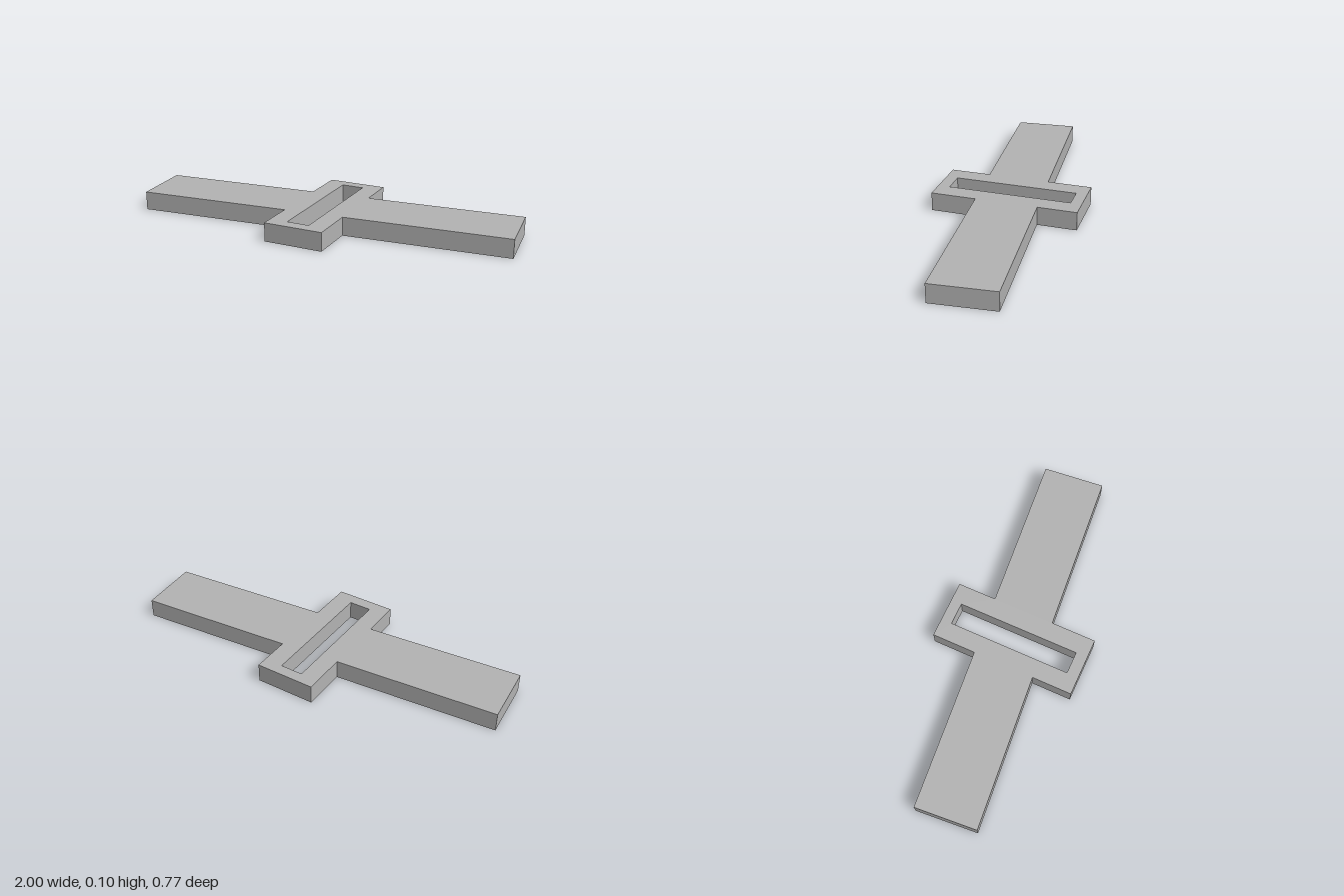
import * as THREE from 'three';

const HEIGHT = 0.098;

// Adds an [x, z] loop to a shape or path; shape y is -z so the extrusion stands upright
function trace(path, points) {
  path.setFromPoints(points.map(([x, z]) => new THREE.Vector2(x, -z)));
  return path;
}

export function createModel() {
  const group = new THREE.Group();
  group.name = 'slottedBar';
  const grey = new THREE.MeshStandardMaterial({ color: 0xb3b3b3 });
  grey.name = 'grey';

  // Outline: upright collar in the middle, slightly turned arm on each side
  const outline = trace(new THREE.Shape(), [
    [-0.165, 0.385], [0.147, 0.385],
    [0.147, 0.147], [0.998, 0.074], [0.968, -0.251], [0.147, -0.18],
    [0.147, -0.385], [-0.165, -0.385],
    [-0.165, -0.152], [-1, -0.08], [-0.973, 0.245], [-0.165, 0.174],
  ]);

  // Long slot through the collar
  outline.holes.push(trace(new THREE.Path(), [
    [-0.07, 0.323], [-0.07, -0.327], [0.048, -0.327], [0.048, 0.323],
  ]));

  const geometry = new THREE.ExtrudeGeometry(outline, { depth: HEIGHT, bevelEnabled: false });
  geometry.rotateX(-Math.PI / 2);
  const body = new THREE.Mesh(geometry, grey);
  body.name = 'collarAndArms';
  group.add(body);
  return group;
}
